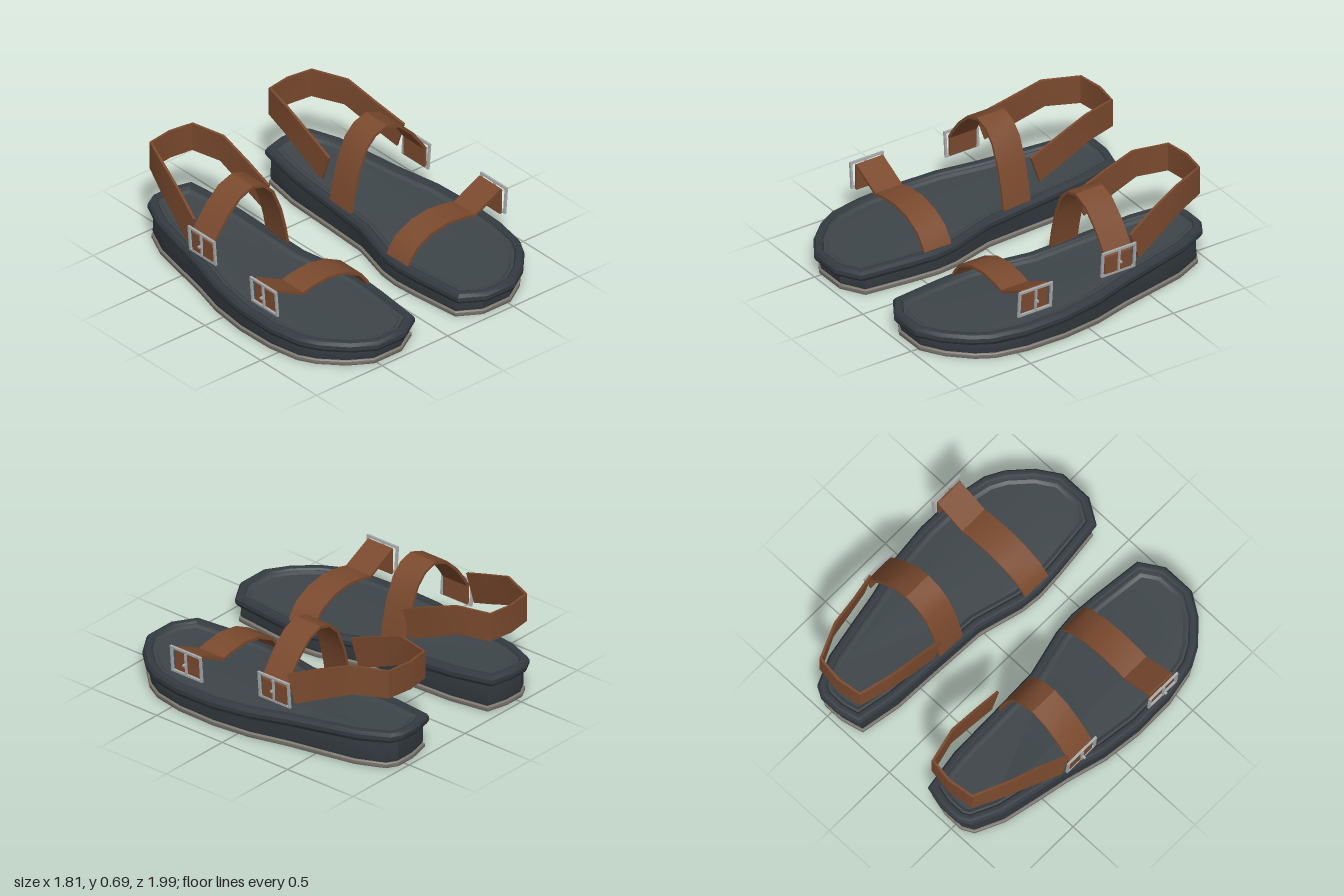
import * as THREE from 'three';
import { mergeGeometries, toCreasedNormals } from 'three/addons/utils/BufferGeometryUtils.js';

const mat = (name, color) => Object.assign(new THREE.MeshStandardMaterial({ color }), { name });

// Footprint of the left sandal as [x, z]: heel, outer side, toe, inner side
const OUTLINE = [
  [0.28, -0.965], [0.42, -1], [0.55, -1], [0.62, -0.96], [0.70, -0.78], [0.745, -0.56], [0.79, -0.33],
  [0.855, -0.08], [0.885, 0.18], [0.88, 0.45], [0.84, 0.66], [0.78, 0.77], [0.66, 0.9], [0.52, 0.99],
  [0.31, 0.99], [0.165, 0.9], [0.13, 0.58], [0.117, 0.4], [0.13, 0.26], [0.185, 0.05], [0.205, -0.03],
  [0.22, -0.33], [0.235, -0.7],
];

// Height of the rim: level at the toe, rising to the heel
const rimY = z => 0.167 + Math.max(0, 0.3 - z) * 0.06;

function insetOutline(d) {
  const n = OUTLINE.length;
  return OUTLINE.map(([x, z], i) => {
    const a = OUTLINE[(i + n - 1) % n], b = OUTLINE[(i + 1) % n];
    const d1 = new THREE.Vector2(x - a[0], z - a[1]).normalize();
    const d2 = new THREE.Vector2(b[0] - x, b[1] - z).normalize();
    const m = new THREE.Vector2(-d1.y - d2.y, d1.x + d2.x).normalize();
    const k = d / Math.max(0.6, m.dot(new THREE.Vector2(-d1.y, d1.x)));
    return [x + m.x * k, z + m.y * k];
  });
}

// Closed solid from stacked footprint rings: [inset, height above ground or rim, from rim?, length scale]
function loft(rings) {
  const pos = [], idx = [], n = OUTLINE.length;
  let flat;
  rings.forEach(([inset, y, rim, zs = 1], r) => {
    flat = insetOutline(inset);
    flat.forEach(([x, z], i) => {
      pos.push(x, rim ? rimY(z) + y : y, z * zs);
      if (r === 0) return;
      const j = (i + 1) % n, a = (r - 1) * n, b = r * n;
      idx.push(a + i, b + i, b + j, a + i, b + j, a + j);
    });
  });
  const pts = flat.map(([x, z]) => new THREE.Vector2(x, z));
  const top = (rings.length - 1) * n;
  for (const [a, b, c] of THREE.ShapeUtils.triangulateShape(pts, [])) {
    const up = THREE.ShapeUtils.area([pts[a], pts[b], pts[c]]) < 0;
    const [p, q] = up ? [b, c] : [c, b];
    idx.push(top + a, top + p, top + q, a, q, p);
  }
  return makeGeometry(pos, idx);
}

function makeGeometry(pos, idx) {
  const g = new THREE.BufferGeometry();
  g.setAttribute('position', new THREE.Float32BufferAttribute(pos, 3));
  g.setIndex(idx);
  return g;
}

// Flat band along points, with a half-width vector at each point
function band(points, halfWidths, thickness) {
  const P = points.map(p => new THREE.Vector3(...p)), pos = [], idx = [];
  P.forEach((p, i) => {
    const w = new THREE.Vector3(...halfWidths[i]);
    const t = P[Math.min(i + 1, P.length - 1)].clone().sub(P[Math.max(i - 1, 0)]);
    const n = t.cross(w).normalize().multiplyScalar(thickness / 2);
    for (const [a, b] of [[1, 1], [1, -1], [-1, -1], [-1, 1]])
      pos.push(...p.clone().addScaledVector(w, a).addScaledVector(n, b).toArray());
    if (i === 0) return;
    for (let k = 0; k < 4; k++) {
      const a = (i - 1) * 4, b = i * 4, l = (k + 1) % 4;
      idx.push(a + k, b + k, b + l, a + k, b + l, a + l);
    }
  });
  const e = (P.length - 1) * 4;
  idx.push(0, 1, 2, 0, 2, 3, e, e + 2, e + 1, e, e + 3, e + 2);
  return makeGeometry(pos, idx);
}

// Band arching across the foot: profile [x, y] at depth z
const arch = (profile, z) =>
  band(profile.map(([x, y]) => [x, y, z]), profile.map(() => [0, 0, 0.094]), 0.018);

const box = (w, h, d, x, y, z) => new THREE.BoxGeometry(w, h, d).translate(x, y, z);

// Rectangular frame with a centre bar and a prong
function buckle(x, y, z, w, h) {
  const t = 0.014;
  return mergeGeometries([
    box(t, t, w, 0, h / 2 - t / 2, 0), box(t, t, w, 0, t / 2 - h / 2, 0),
    box(t, h - 2 * t, t, 0, 0, w / 2 - t / 2), box(t, h - 2 * t, t, 0, 0, t / 2 - w / 2),
    box(t, h - 2 * t, 0.01, 0.006, 0, 0), box(0.022, 0.012, 0.014, 0.02, 0, 0),
  ]).rotateZ(-0.08).translate(x, y, z);
}

// Mirrors if asked, makes faces point outward and keeps edges sharp
function finish(geometry, side) {
  let g = geometry.index ? geometry.toNonIndexed() : geometry.clone();
  for (const name of ['uv', 'normal']) g.deleteAttribute(name);
  g.scale(side, 1, 1);
  const p = g.attributes.position, v = [0, 1, 2].map(() => new THREE.Vector3());
  let volume = 0;
  for (let i = 0; i < p.count; i += 3) {
    v.forEach((q, k) => q.fromBufferAttribute(p, i + k));
    volume += v[0].dot(v[1].clone().cross(v[2]));
  }
  if (volume < 0) for (let i = 0; i < p.count; i += 3) {
    v.forEach((q, k) => q.fromBufferAttribute(p, i + k));
    v.forEach((q, k) => p.setXYZ(i + 2 - k, q.x, q.y, q.z));
  }
  return toCreasedNormals(g, 0.5);
}

export function createModel() {
  const rubber = mat('dark rubber', 0x343b41), lining = mat('footbed grey', 0x3e4549);
  const leather = mat('brown leather', 0x7b4a2e), metal = mat('buckle metal', 0xa9acae);
  const tread = mat('outsole grey', 0x7d7870);

  const heelPath = [
    [0.80, 0.403, -0.36], [0.75, 0.48, -0.545], [0.705, 0.557, -0.735], [0.612, 0.56, -0.94], [0.45, 0.56, -0.962],
    [0.295, 0.56, -0.94], [0.243, 0.557, -0.735], [0.235, 0.48, -0.545], [0.23, 0.403, -0.36],
  ];
  const end = [0, 0.0875, 0.03], bend = [0, 0.09, 0.012], back = [0, 0.09, 0];

  const parts = [
    ['outsole', tread, loft([[0.004, 0, false, 0.966], [0, 0.008, false, 0.966], [0, 0.026, false, 0.966],
      [0.006, 0.032, false, 0.966]])],
    // Midsole wall with a rolled rim around the top
    ['midsole', rubber, loft([[0.014, 0.03, false, 0.966], [0.008, 0.05, false, 0.966], [0.012, -0.075, true, 0.968],
      [0.01, -0.068, true], [0, -0.05, true], [0, -0.025, true], [0.012, -0.005, true], [0.03, 0, true],
      [0.048, -0.004, true], [0.056, -0.016, true], [0.068, -0.03, true]])],
    ['footbed', lining, loft([[0.058, -0.05, true], [0.058, -0.014, true], [0.07, -0.012, true],
      [0.09, -0.024, true]])],
    ['toeStrap', leather, arch([[0.145, 0.15], [0.165, 0.19], [0.215, 0.255], [0.33, 0.313], [0.455, 0.333],
      [0.59, 0.32], [0.655, 0.303], [0.75, 0.35], [0.855, 0.402]], 0.378)],
    ['toeStrapTab', leather, box(0.016, 0.165, 0.186, 0.852, 0.322, 0.381)],
    ['ankleStrap', leather, arch([[0.24, 0.18], [0.262, 0.3], [0.297, 0.44], [0.357, 0.585], [0.425, 0.652],
      [0.51, 0.677], [0.61, 0.64], [0.70, 0.555], [0.77, 0.462], [0.81, 0.40]], -0.24)],
    ['ankleStrapTab', leather, box(0.016, 0.13, 0.186, 0.805, 0.347, -0.24)],
    ['heelStrap', leather, band(heelPath, [end, end, bend, back, back, back, bend, end, end], 0.016)],
    ['toeBuckle', metal, buckle(0.872, 0.33, 0.382, 0.235, 0.172)],
    ['ankleBuckle', metal, buckle(0.815, 0.358, -0.24, 0.238, 0.168)],
  ];

  const model = new THREE.Group();
  model.name = 'sandals';
  for (const [name, side] of [['leftSandal', 1], ['rightSandal', -1]]) {
    const sandal = new THREE.Group();
    sandal.name = name;
    for (const [part, material, geometry] of parts) {
      const mesh = new THREE.Mesh(finish(geometry, side), material);
      mesh.name = part;
      sandal.add(mesh);
    }
    model.add(sandal);
  }
  return model;
}
